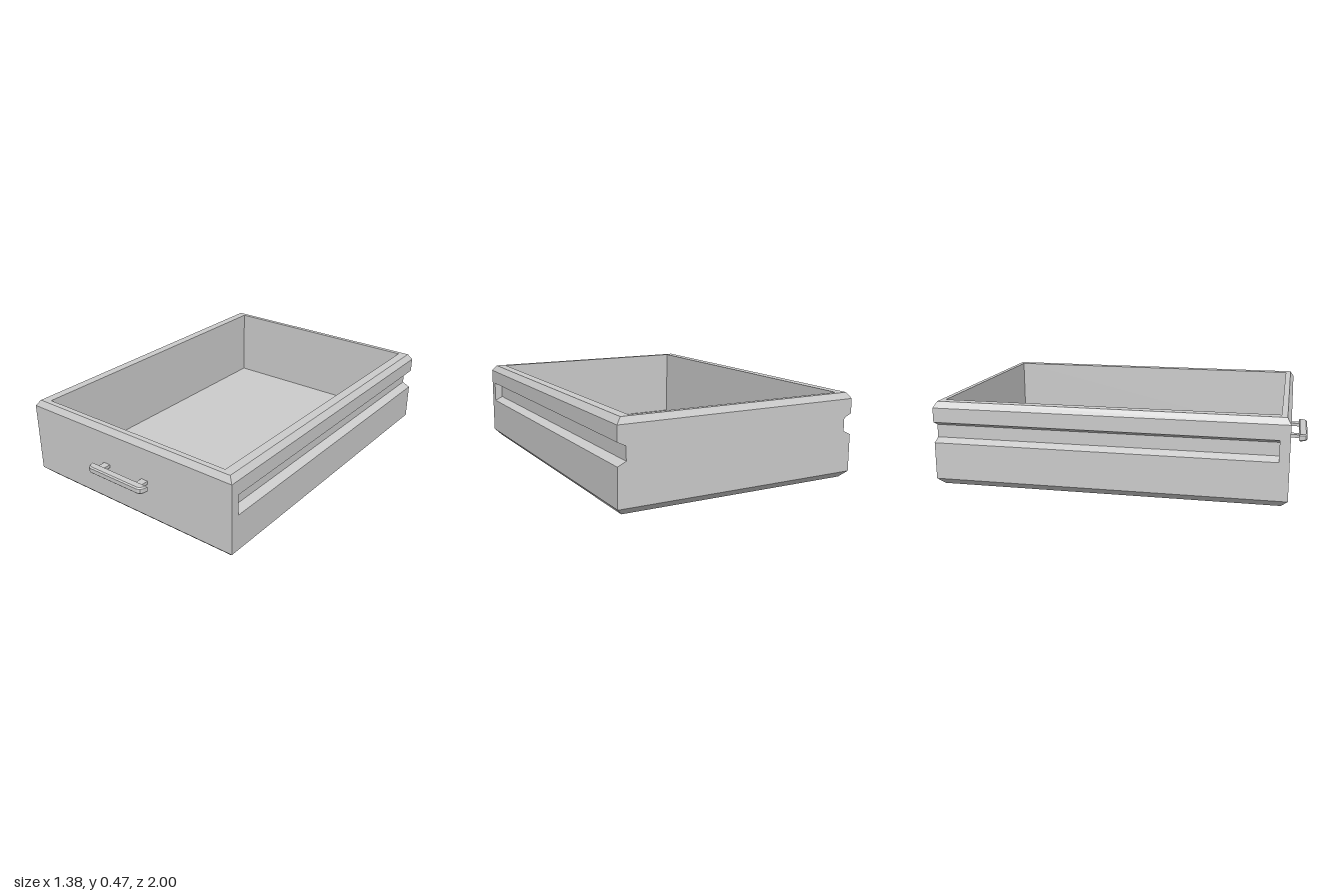
import * as THREE from 'three';

const material = new THREE.MeshStandardMaterial({ color: 0xcccccc, flatShading: true });

// Collects planar polygons (possibly concave); each is wound to face its outward hint.
function faceBuilder() {
  const positions = [];
  const add = (points, hint) => {
    const p = points.map((a) => new THREE.Vector3(...a));
    const n = new THREE.Vector3(...hint);
    const size = n.toArray().map(Math.abs);
    const drop = size.indexOf(Math.max(...size));
    const [u, v] = [0, 1, 2].filter((i) => i !== drop);
    const flat = points.map((a) => new THREE.Vector2(a[u], a[v]));
    for (const [a, b, c] of THREE.ShapeUtils.triangulateShape(flat, [])) {
      const cross = p[b].clone().sub(p[a]).cross(p[c].clone().sub(p[a]));
      const order = cross.dot(n) < 0 ? [a, c, b] : [a, b, c];
      order.forEach((i) => positions.push(...points[i]));
    }
  };
  const build = () => {
    const g = new THREE.BufferGeometry();
    g.setAttribute('position', new THREE.Float32BufferAttribute(positions, 3));
    g.computeVertexNormals();
    return g;
  };
  return { add, build };
}

function drawerBox() {
  const X = 0.692, back = -1, front = 0.908;
  const low = 0.036, high = 0.435, top = 0.468;
  const { add, build } = faceBuilder();
  const ring = (x, z0, z1, y) => [[-x, y, z1], [x, y, z1], [x, y, z0], [-x, y, z0]];
  const outward = [[0, 0, 1], [1, 0, 0], [0, 0, -1], [-1, 0, 0]];
  const band = (a, b, sign = 1) => outward.forEach((n, i) => {
    const j = (i + 1) % 4;
    add([a[i], a[j], b[j], b[i]], n.map((c) => c * sign));
  });

  const bottomRing = ring(X - 0.035, back + 0.035, front - 0.035, 0);
  const lowRing = ring(X, back, front, low);
  const highRing = ring(X, back, front, high);
  const rimOuter = ring(X - 0.025, back + 0.018, front - 0.02, top);
  const rimInner = ring(0.615, -0.955, 0.858, top);
  const floorRing = ring(0.615, -0.955, 0.858, 0.05);

  // Underside, chamfers, rim, inner walls and floor
  add(bottomRing, [0, -1, 0]);
  band(bottomRing, lowRing);
  band(highRing, rimOuter);
  for (let i = 0; i < 4; i++) {
    const j = (i + 1) % 4;
    add([rimOuter[i], rimOuter[j], rimInner[j], rimInner[i]], [0, 1, 0]);
  }
  band(rimInner, floorRing, -1);
  add(floorRing, [0, 1, 0]);

  // Front panel
  add([lowRing[0], lowRing[1], highRing[1], highRing[0]], [0, 0, 1]);

  // Runner groove section: [depth into the side, height]
  const groove = [[0, 0.24], [0.045, 0.262], [0.045, 0.333], [0, 0.355]];
  const end = 0.855;
  for (const s of [1, -1]) {
    const at = ([d, y], z) => [s * (X - d), y, z];
    add([[0, low, back], [0, low, front], [0, high, front], [0, high, back],
      [0, groove[3][1], back], [0, groove[3][1], end],
      [0, groove[0][1], end], [0, groove[0][1], back]]
      .map(([, y, z]) => [s * X, y, z]), [s, 0, 0]);
    const hints = [[0, 1, 0], [s, 0, 0], [0, -1, 0]];
    hints.forEach((n, i) => add([at(groove[i], back), at(groove[i + 1], back),
      at(groove[i + 1], end), at(groove[i], end)], n));
    add(groove.map((g) => at(g, end)), [0, 0, -1]);
  }

  // Back panel, notched where the grooves run out
  const side = [[0, low], ...groove, [0, high]];
  add([...side.map(([d, y]) => [X - d, y, back]),
    ...side.reverse().map(([d, y]) => [d - X, y, back])], [0, 0, -1]);

  const mesh = new THREE.Mesh(build(), material);
  mesh.name = 'drawerBox';
  return mesh;
}

function handle() {
  const group = new THREE.Group();
  group.name = 'handle';

  // Grip: bevelled bar with its front corners rounded off
  const half = [[0.198, 0.953], [0.194, 0.976], [0.185, 0.992], [0.168, 1.0]];
  const outline = [...half, ...half.map(([x, z]) => [-x, z]).reverse()];
  const shape = new THREE.Shape(outline.map(([x, z]) => new THREE.Vector2(x, z)));
  const bevel = 0.007;
  const geometry = new THREE.ExtrudeGeometry(shape, {
    depth: 0.038 - 2 * bevel, bevelEnabled: true, bevelSegments: 1,
    bevelSize: bevel, bevelThickness: bevel, bevelOffset: -bevel,
  });
  geometry.rotateX(Math.PI / 2);
  const grip = new THREE.Mesh(geometry, material);
  grip.name = 'grip';
  grip.position.y = 0.262 - bevel;
  group.add(grip);

  // Posts joining the grip to the front panel
  for (const s of [1, -1]) {
    const post = new THREE.Mesh(new THREE.BoxGeometry(0.042, 0.018, 0.06), material);
    post.name = s > 0 ? 'leftPost' : 'rightPost';
    post.position.set(s * 0.136, 0.243, 0.93);
    group.add(post);
  }
  group.position.x = -0.008;
  return group;
}

export function createModel() {
  const model = new THREE.Group();
  model.name = 'drawer';
  model.add(drawerBox(), handle());
  return model;
}
